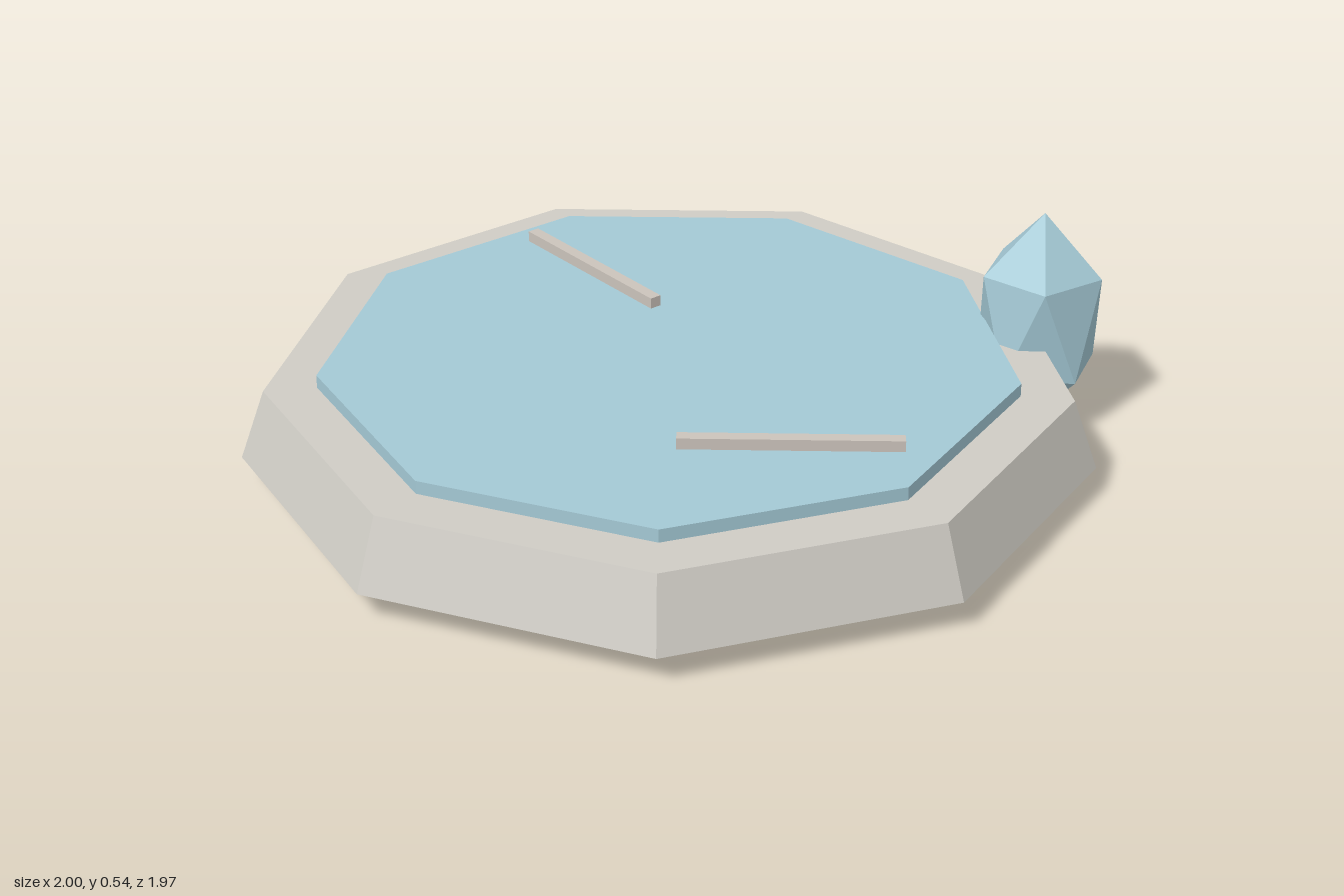
import * as THREE from 'three';
import { ConvexGeometry } from 'three/addons/geometries/ConvexGeometry.js';

const material = (name, color) => {
  const m = new THREE.MeshStandardMaterial({ color, flatShading: true });
  m.name = name;
  return m;
};

export function createModel() {
  const group = new THREE.Group();
  const stone = material('pale stone', 0xcfccc5);
  const ice = material('ice blue', 0xa4c9d5);
  const crack = material('warm grey', 0xcbc3bb);

  const add = (name, geometry, mat, x, y, z, turn = 0) => {
    const mesh = new THREE.Mesh(geometry, mat);
    mesh.name = name;
    mesh.position.set(x, y, z);
    mesh.rotation.y = turn;
    group.add(mesh);
  };

  // nine-sided slabs with one corner pointing to the back
  add('stoneRim', new THREE.CylinderGeometry(0.955, 1.015, 0.17, 9), stone, 0, 0.155, 0.03, Math.PI);
  add('iceSheet', new THREE.CylinderGeometry(0.83, 0.83, 0.034, 9), ice, 0, 0.255, 0.03, Math.PI);

  // thin ridges lying on the ice
  const ridge = new THREE.BoxGeometry(0.507, 0.028, 0.03);
  add('backRidge', ridge, crack, -0.34, 0.285, -0.31, -Math.PI / 6);
  add('frontRidge', ridge, crack, 0.423, 0.285, 0.37, Math.PI / 9);

  // crystal: two staggered five-point rings between a top and a bottom tip
  const half = 0.272, radius = 0.148, ring = half / Math.sqrt(5);
  const points = [new THREE.Vector3(0, half, 0), new THREE.Vector3(0, -half, 0)];
  for (let i = 0; i < 10; i++) {
    const a = (i * Math.PI) / 5;
    points.push(new THREE.Vector3(Math.cos(a) * radius, i % 2 ? -ring : ring, Math.sin(a) * radius));
  }
  add('crystal', new ConvexGeometry(points), ice, 0.762, half, -0.478);

  return group;
}
